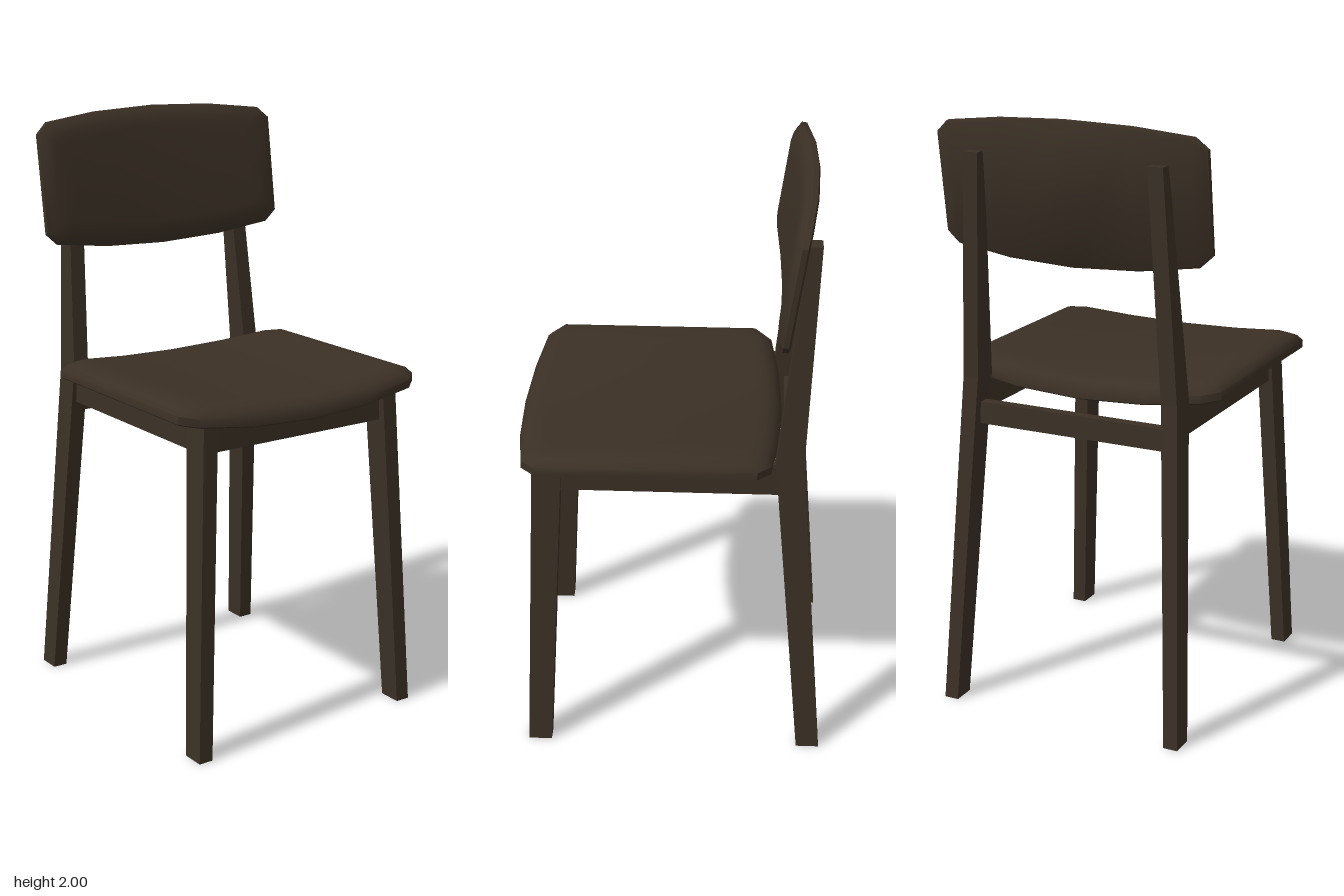
import * as THREE from 'three';
import { toCreasedNormals } from 'three/addons/utils/BufferGeometryUtils.js';

const darkWood = new THREE.MeshStandardMaterial({ color: 0x3b3025 });
darkWood.name = 'dark wood';

// Curved cushion-like panel: a bowed outline lofted through inset rings.
// edge: [x, half depth] from the middle outward; rings: [inset, height]
function panelGeometry(edge, rings, sag) {
  const columns = [...edge.slice(1).reverse().map(([x, h]) => [-x, h]), ...edge];
  const outline = [...columns, ...columns.slice().reverse().map(([x, h]) => [x, -h])];
  const n = columns.length, m = outline.length;
  const halfW = edge[edge.length - 1][0], halfD = edge[0][1];
  const pos = [], idx = [];
  for (const [inset, height] of rings) {
    for (const [x0, h0] of outline) {
      const x = x0 * (1 - inset / halfW), h = h0 * (1 - inset / halfD);
      pos.push(x, height - sag * (1 - (x / halfW) ** 2), h);
    }
  }
  const quad = (a, b, c, d) => idx.push(a, b, c, a, c, d);
  for (let k = 0; k < rings.length - 1; k++) {
    for (let i = 0; i < m; i++) {
      const j = (i + 1) % m, lo = k * m, hi = lo + m;
      quad(lo + i, lo + j, hi + j, hi + i);
    }
  }
  const top = (rings.length - 1) * m;
  for (let i = 0; i < n - 1; i++) {
    const b = m - 1 - i;
    quad(top + i, top + i + 1, top + b - 1, top + b);
    quad(b, b - 1, i + 1, i);
  }
  const geo = new THREE.BufferGeometry();
  geo.setAttribute('position', new THREE.Float32BufferAttribute(pos, 3));
  geo.setIndex(idx);
  return toCreasedNormals(geo, 0.75);
}

// Tapered leg through rectangular sections [y, x0, x1, z0, z1], from the floor up
function legGeometry(sections, side) {
  const n = sections.length - 1;
  const geo = new THREE.BoxGeometry(1, 1, 1, 1, n, 1).toNonIndexed();
  const p = geo.attributes.position;
  for (let i = 0; i < p.count; i++) {
    const [y, x0, x1, z0, z1] = sections[Math.round((p.getY(i) + 0.5) * n)];
    p.setXYZ(i,
      side * (x0 + x1) / 2 + p.getX(i) * (x1 - x0),
      y,
      (z0 + z1) / 2 + p.getZ(i) * (z1 - z0));
  }
  geo.computeVertexNormals();
  return geo;
}

export function createModel() {
  const chair = new THREE.Group();
  chair.name = 'chair';
  const add = (name, geo, x = 0, y = 0, z = 0) => {
    const mesh = new THREE.Mesh(geo, darkWood);
    mesh.name = name;
    mesh.position.set(x, y, z);
    chair.add(mesh);
    return mesh;
  };

  // Dished seat with a rounded upper rim
  add('seat', panelGeometry(
    [[0, 0.435], [0.23, 0.425], [0.42, 0.4], [0.472, 0.355]],
    [[0.012, 0], [0, 0.006], [0, 0.032], [0.018, 0.055], [0.045, 0.069], [0.08, 0.075]],
    0.037), 0, 1.12, 0.08);

  // Bowed backrest, leaning backwards
  const back = add('backrest', panelGeometry(
    [[0, 0.238], [0.23, 0.229], [0.43, 0.204], [0.472, 0.166]],
    [[0.008, 0], [0, 0.005], [0, 0.022], [0.018, 0.038], [0.045, 0.048], [0.08, 0.052]],
    0.03), 0, 1.765, -0.387);
  back.rotation.x = Math.PI / 2 - 0.14;

  // Legs and side rails, mirrored
  for (const [side, label] of [[1, 'left'], [-1, 'right']]) {
    add(label + 'FrontLeg', legGeometry([
      [0, 0.39, 0.44, 0.42, 0.5],
      [1.125, 0.332, 0.385, 0.355, 0.45],
    ], side));
    add(label + 'BackLeg', legGeometry([
      [0, 0.39, 0.44, -0.515, -0.437],
      [1.13, 0.332, 0.387, -0.425, -0.335],
      [1.88, 0.296, 0.348, -0.455, -0.412],
    ], side));
    add(label + 'SideRail', new THREE.BoxGeometry(0.036, 0.115, 0.74), side * 0.358, 1.0675, 0.01);
  }

  // Cross rails; the rear one sits lower
  add('frontRail', new THREE.BoxGeometry(0.69, 0.1, 0.036), 0, 1.06, 0.41);
  add('backRail', new THREE.BoxGeometry(0.69, 0.075, 0.036), 0, 1.008, -0.385);

  return chair;
}
